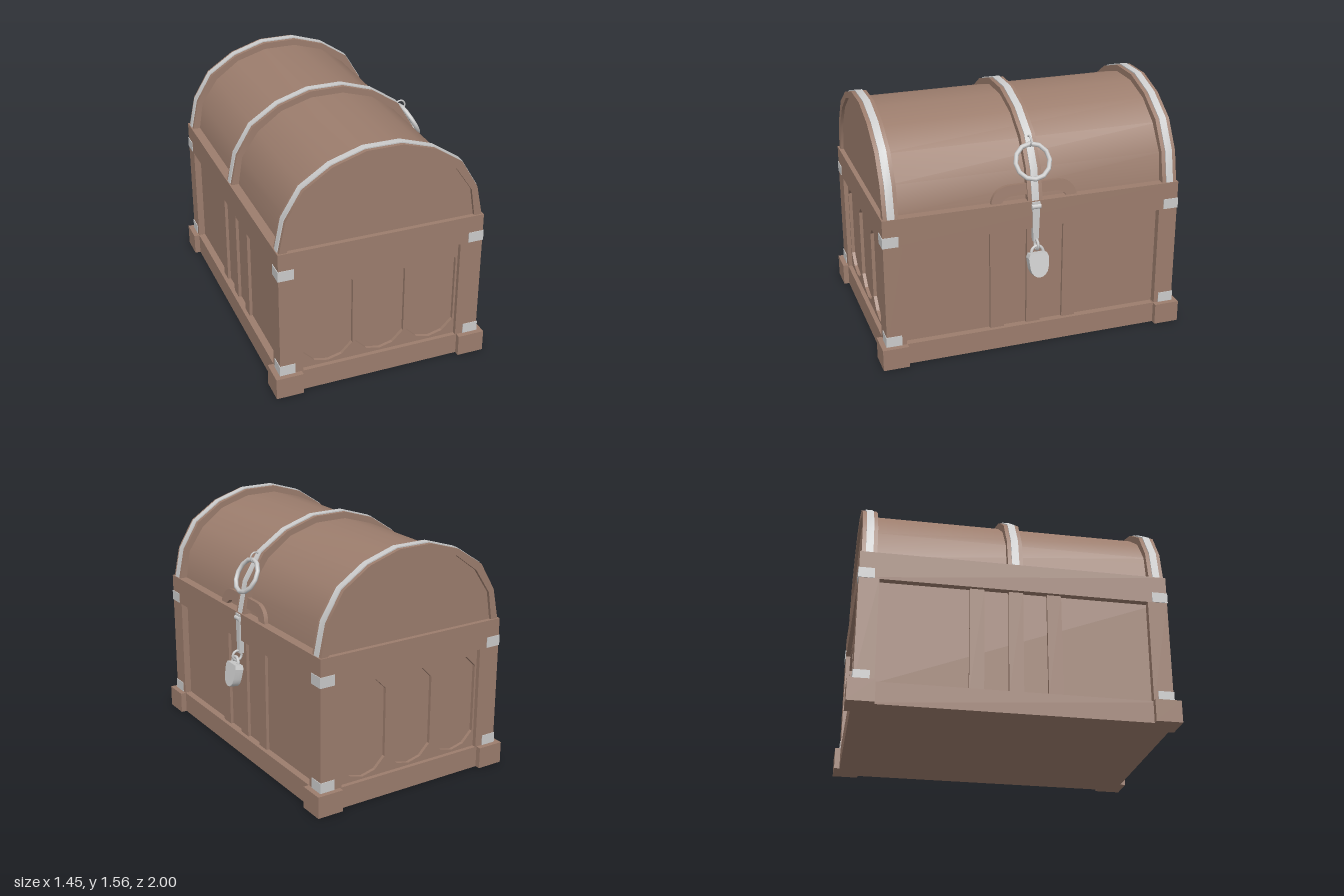
import * as THREE from 'three';
import { toCreasedNormals } from 'three/addons/utils/BufferGeometryUtils.js';

const wood = new THREE.MeshStandardMaterial({ color: 0x9c7d6d });
const metal = new THREE.MeshStandardMaterial({ color: 0xcccccc });
const W = 0.6625, D = 0.965; // half width and half length of the chest body

// Half profiles of the arched lid, from the rim up to the crown
const lidProfile = [[0.605, 0.985], [0.575, 1.175], [0.465, 1.335], [0.308, 1.45], [0.108, 1.51]];
const bandProfile = [[0.652, 0.985], [0.609, 1.188], [0.501, 1.367], [0.321, 1.486], [0.114, 1.551]];
const strapProfile = [[0.658, 0.985], [0.615, 1.191], [0.505, 1.372], [0.324, 1.492], [0.115, 1.558]];

const mirrorX = (half) => [...half, ...half.map(([x, y]) => [-x, y]).reverse()];
const shapeOf = (pts) => new THREE.Shape(pts.map(([x, y]) => new THREE.Vector2(x, y)));

// Extrudes a shape along z, centred on z = 0
function extrude(shape, depth) {
  const g = new THREE.ExtrudeGeometry(shape, { depth, bevelEnabled: false, curveSegments: 8 });
  g.translate(0, 0, -depth / 2);
  return toCreasedNormals(g, 0.5);
}

export function createModel() {
  const root = new THREE.Group();
  root.name = 'chest';
  const chest = new THREE.Group();
  chest.name = 'chestParts';
  chest.position.x = -0.0275;
  root.add(chest);

  function add(name, geometry, material, x = 0, y = 0, z = 0, parent = chest) {
    const mesh = new THREE.Mesh(geometry, material);
    mesh.name = name;
    mesh.position.set(x, y, z);
    parent.add(mesh);
    return mesh;
  }
  // Box given by its sizes, the height of its underside and its centre in x and z
  const box = (name, mat, w, h, d, x, y0, z) =>
    add(name, new THREE.BoxGeometry(w, h, d), mat, x, y0 + h / 2, z);

  // Base, recessed core and rim
  box('base', wood, 2 * W, 0.14, 2 * D, 0, 0, 0);
  box('core', wood, 2 * (W - 0.045), 0.7, 2 * (D - 0.05), 0, 0.12, 0);
  box('rim', wood, 2 * W, 0.18, 2 * D, 0, 0.81, 0);

  // Feet, corner posts and metal corner brackets
  for (const sx of [-1, 1]) for (const sz of [-1, 1]) {
    box('foot', wood, 0.175, 0.141, 0.165, sx * 0.6125, 0, sz * 0.9175);
    box('cornerPost', wood, 0.147, 0.7, 0.125, sx * (W - 0.0735), 0.12, sz * (D - 0.0625));
    for (const y of [0.141, 0.812])
      box('cornerBracket', metal, 0.1, 0.067, 0.1, sx * (W - 0.046), y, sz * (D - 0.046));
  }

  // End panels with three tall cut-outs
  const panel = shapeOf([[-0.53, 0.13], [0.53, 0.13], [0.53, 0.82], [-0.53, 0.82]]);
  const outline = [[0.16, -0.225], [0.16, 0.225], [0.09, 0.295], [0, 0.3175],
    [-0.09, 0.295], [-0.16, 0.225], [-0.16, -0.225], [-0.09, -0.295], [0, -0.3175], [0.09, -0.295]];
  for (const cx of [-0.3425, 0, 0.3425])
    panel.holes.push(new THREE.Path(outline.map(([x, y]) => new THREE.Vector2(cx + x, 0.4725 + y))));
  const panelGeometry = extrude(panel, 0.022);
  for (const s of [-1, 1]) add('endPanel', panelGeometry, wood, 0, 0, s * (D - 0.039));

  // Vertical battens on the long sides
  for (const s of [-1, 1]) for (const z of [-0.238, 0.003, 0.243])
    box('sideBatten', wood, 0.03, 0.69, 0.09, s * (W - 0.04), 0.13, z);

  // Arched lid with wooden ribs and metal straps over them
  add('lid', extrude(shapeOf(mirrorX(lidProfile)), 1.87), wood);
  function arch(profile, width) {
    const shape = shapeOf(mirrorX(profile));
    shape.holes.push(new THREE.Path(mirrorX(lidProfile)
      .map(([x, y]) => new THREE.Vector2(x * 0.995, Math.max(y - 0.003, 0.9855)))));
    return extrude(shape, width);
  }
  const rib = arch(bandProfile, 0.096), strap = arch(strapProfile, 0.046);
  for (const z of [-0.907, 0, 0.907]) {
    add('lidRib', rib, wood, 0, 0, z);
    add('lidStrap', strap, metal, 0, 0, z);
  }

  // Low arched lifting handle lying against the lid
  const grip = new THREE.Shape();
  grip.moveTo(-0.28, 0);
  grip.bezierCurveTo(-0.27, 0.07, -0.22, 0.108, -0.15, 0.108);
  grip.lineTo(0.15, 0.108);
  grip.bezierCurveTo(0.22, 0.108, 0.27, 0.07, 0.28, 0);
  grip.lineTo(0.21, 0);
  grip.quadraticCurveTo(0.19, 0.038, 0.14, 0.038);
  grip.lineTo(-0.14, 0.038);
  grip.quadraticCurveTo(-0.19, 0.038, -0.21, 0);
  const handle = add('liftHandle', extrude(grip, 0.028), wood, 0.622, 0.987, 0);
  handle.rotation.set(0, Math.PI / 2, 0.13, 'ZYX');

  // Hanging ring and the small eye that holds it
  const ring = add('pullRing', new THREE.TorusGeometry(0.11, 0.015, 8, 12), metal, 0.598, 1.225, 0);
  ring.rotation.set(0, Math.PI / 2, 0.5, 'ZYX');
  add('ringEye', new THREE.TorusGeometry(0.033, 0.006, 6, 14), metal, 0.535, 1.335, 0);

  // Hasp: tapered strap, hinge knuckle and staple
  const hasp = extrude(shapeOf([[-0.026, 0.985], [-0.017, 0.72], [0.017, 0.72], [0.026, 0.985]]), 0.03);
  hasp.rotateY(Math.PI / 2);
  add('hasp', hasp, metal, W - 0.006, 0, 0);
  const knuckle = add('haspKnuckle', new THREE.CylinderGeometry(0.016, 0.016, 0.06, 10), metal, W + 0.004, 0.955, 0);
  knuckle.rotation.x = Math.PI / 2;
  add('haspStaple', new THREE.TorusGeometry(0.032, 0.009, 6, 14), metal, W + 0.019, 0.705, 0);

  // Padlock hanging from the staple, its foot swung slightly outward
  const lock = new THREE.Group();
  lock.name = 'padlock';
  lock.position.set(0.697, 0.655, 0);
  lock.rotation.z = 0.2;
  chest.add(lock);
  const shield = new THREE.Shape();
  shield.moveTo(-0.055, 0);
  shield.lineTo(-0.066, -0.025);
  shield.lineTo(-0.06, -0.09);
  shield.bezierCurveTo(-0.05, -0.175, 0.05, -0.175, 0.06, -0.09);
  shield.lineTo(0.066, -0.025);
  shield.lineTo(0.055, 0);
  const body = extrude(shield, 0.056);
  body.rotateY(Math.PI / 2);
  add('padlockBody', body, metal, 0, 0, 0, lock);
  const shackle = new THREE.TorusGeometry(0.038, 0.01, 8, 12, Math.PI);
  shackle.rotateY(Math.PI / 2);
  add('padlockShackle', shackle, metal, 0, 0.005, 0, lock);

  return root;
}
